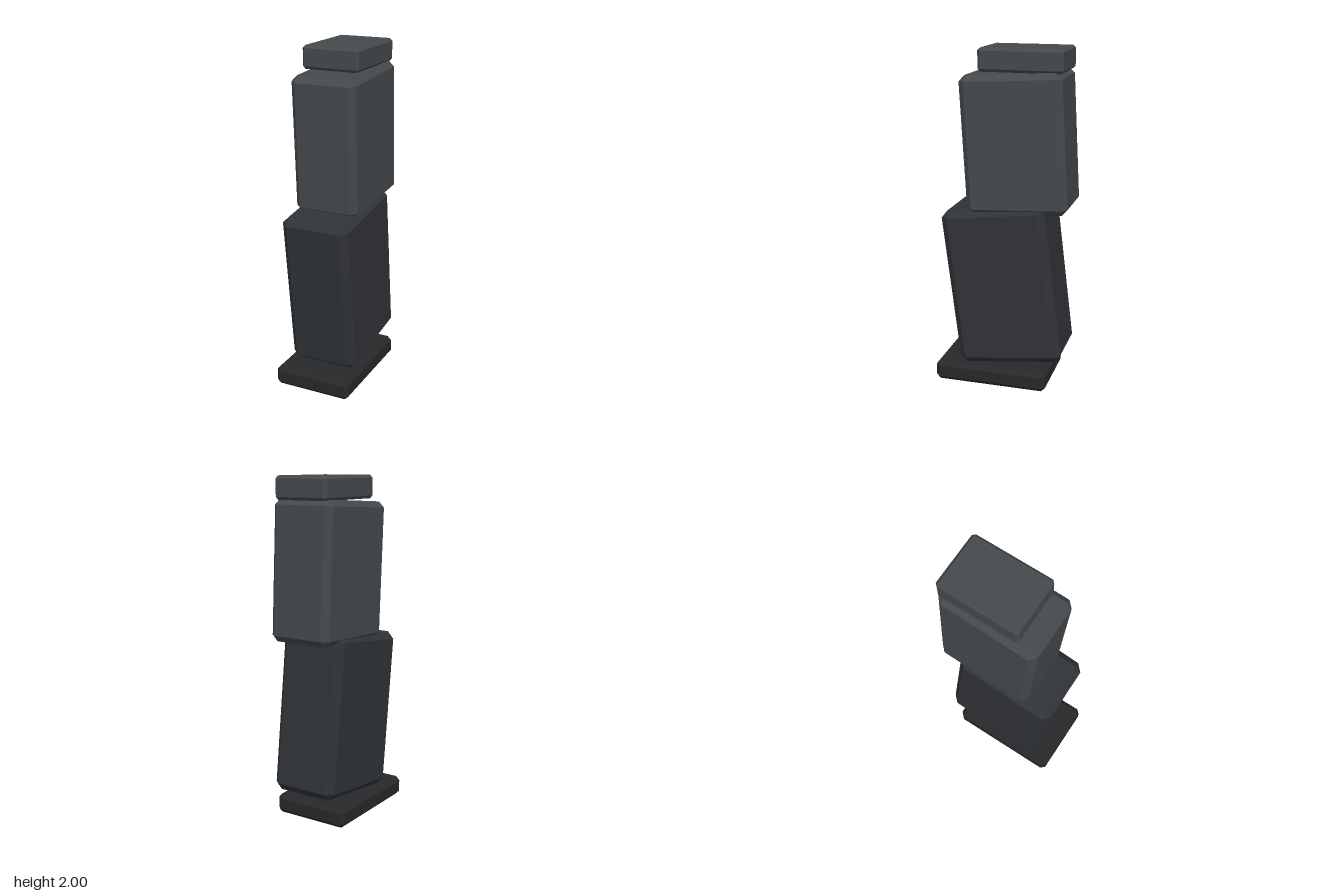
import * as THREE from 'three';
import { ConvexGeometry } from 'three/addons/geometries/ConvexGeometry.js';

// Box with every edge cut by a flat chamfer c; w, h, d are overall sizes
function chamferBox(w, h, d, c) {
  const half = [w / 2, h / 2, d / 2];
  const points = [];
  for (const sx of [-1, 1]) for (const sy of [-1, 1]) for (const sz of [-1, 1]) {
    for (let axis = 0; axis < 3; axis++) {
      const [x, y, z] = half.map((v, i) => (i === axis ? v : v - c));
      points.push(new THREE.Vector3(sx * x, sy * y, sz * z));
    }
  }
  return new ConvexGeometry(points);
}

export function createModel() {
  const group = new THREE.Group();
  group.name = 'stackedBlocks';

  const addBlock = (name, size, chamfer, y, z, tilt, color) => {
    const material = new THREE.MeshStandardMaterial({ color, flatShading: true });
    const mesh = new THREE.Mesh(chamferBox(...size, chamfer), material);
    mesh.name = name;
    mesh.position.set(0, y, z);
    mesh.rotation.x = THREE.MathUtils.degToRad(tilt);
    group.add(mesh);
  };

  // Flat foot, pushed towards the front
  addBlock('basePlate', [0.472, 0.118, 0.68], 0.024, 0.059, 0.052, 0, 0x26282a);
  // Two tall blocks, both leaning forward
  addBlock('lowerBlock', [0.414, 0.954, 0.624], 0.042, 0.619, -0.005, 7, 0x303337);
  addBlock('upperBlock', [0.39, 0.8, 0.594], 0.035, 1.462, -0.075, 3.2, 0x44494c);
  // Level cap
  addBlock('topCap', [0.344, 0.132, 0.487], 0.016, 1.934, -0.112, 0, 0x44494c);

  return group;
}
